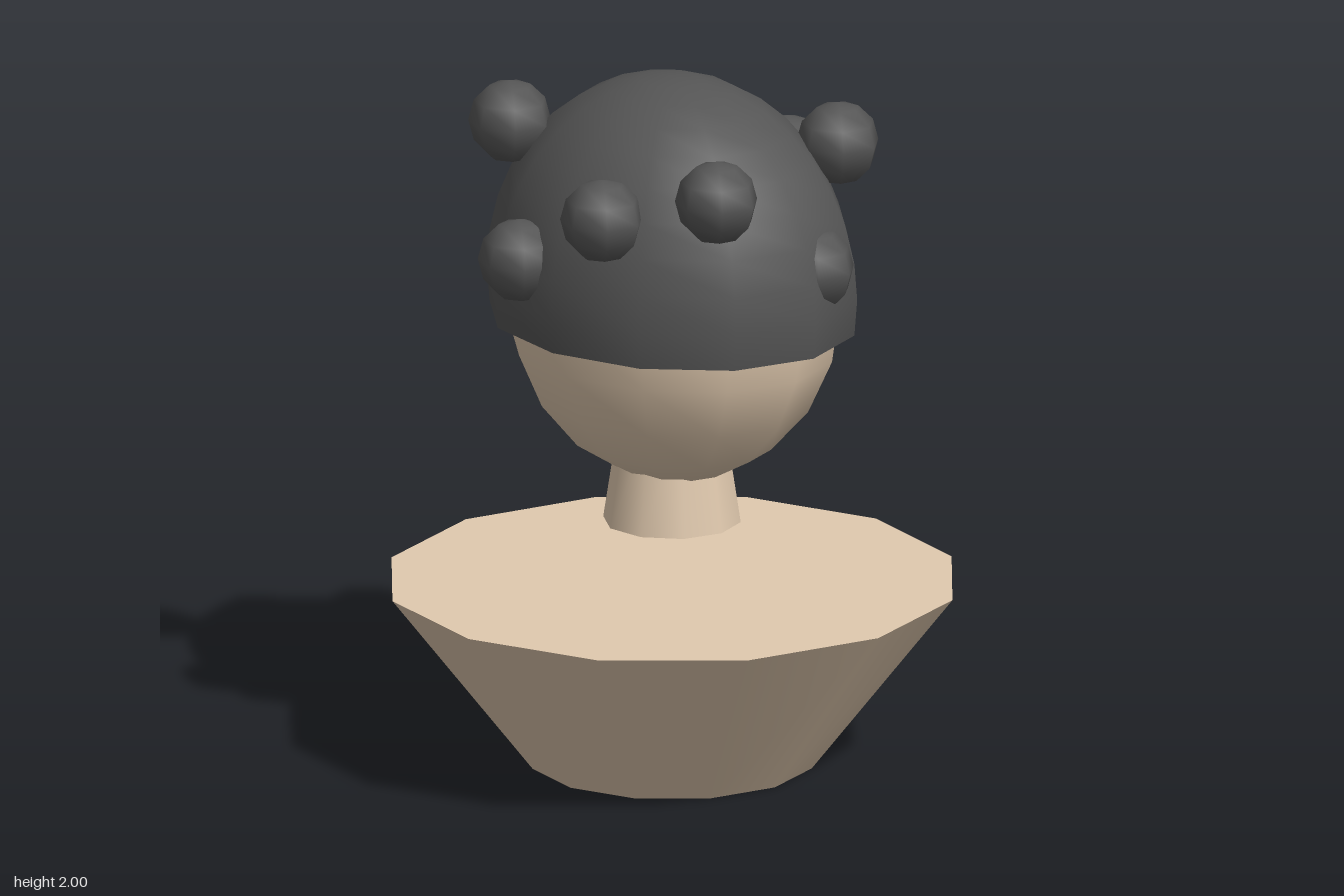
import * as THREE from 'three';

export function createModel() {
  const model = new THREE.Group();
  const skin = new THREE.MeshStandardMaterial({ color: 0xe0c9ae });
  skin.name = 'skin';
  const hairGrey = new THREE.MeshStandardMaterial({ color: 0x555555, side: THREE.DoubleSide });
  hairGrey.name = 'dark grey hair';

  function add(name, geometry, material, x, y, z) {
    const mesh = new THREE.Mesh(geometry, material);
    mesh.name = name;
    mesh.position.set(x, y, z);
    model.add(mesh);
    return mesh;
  }

  // Flared bust and the neck floating above it
  add('bust', new THREE.CylinderGeometry(0.813, 0.405, 0.525, 12), skin, 0, 0.2625, 0);
  add('neck', new THREE.CylinderGeometry(0.149, 0.195, 0.3, 10), skin, 0, 0.85, 0);

  // Egg-shaped head
  add('head', new THREE.SphereGeometry(1, 12, 10), skin, 0, 1.376, 0)
    .scale.set(0.44, 0.55, 0.515);

  // Hair cap reaching just below its widest ring
  const cap = new THREE.SphereGeometry(1, 12, 10, 0, Math.PI * 2, 0, THREE.MathUtils.degToRad(100));
  add('hairCap', cap, hairGrey, 0, 1.395, 0).scale.set(0.484, 0.605, 0.567);

  // Ring of curls around the cap
  const curl = new THREE.SphereGeometry(0.119, 7, 6);
  const curls = [
    [0.46, 1.665, 0], [0.36, 1.79, 0.3], [0.1, 1.51, 0.46],
    [-0.23, 1.765, 0.405], [-0.44, 1.705, 0.16], [-0.44, 1.52, -0.165],
    [-0.23, 1.83, -0.41], [0.09, 1.605, -0.46], [0.36, 1.595, -0.305],
  ];
  curls.forEach(([x, y, z], i) => add('curl' + (i + 1), curl, hairGrey, x, y, z));

  return model;
}
